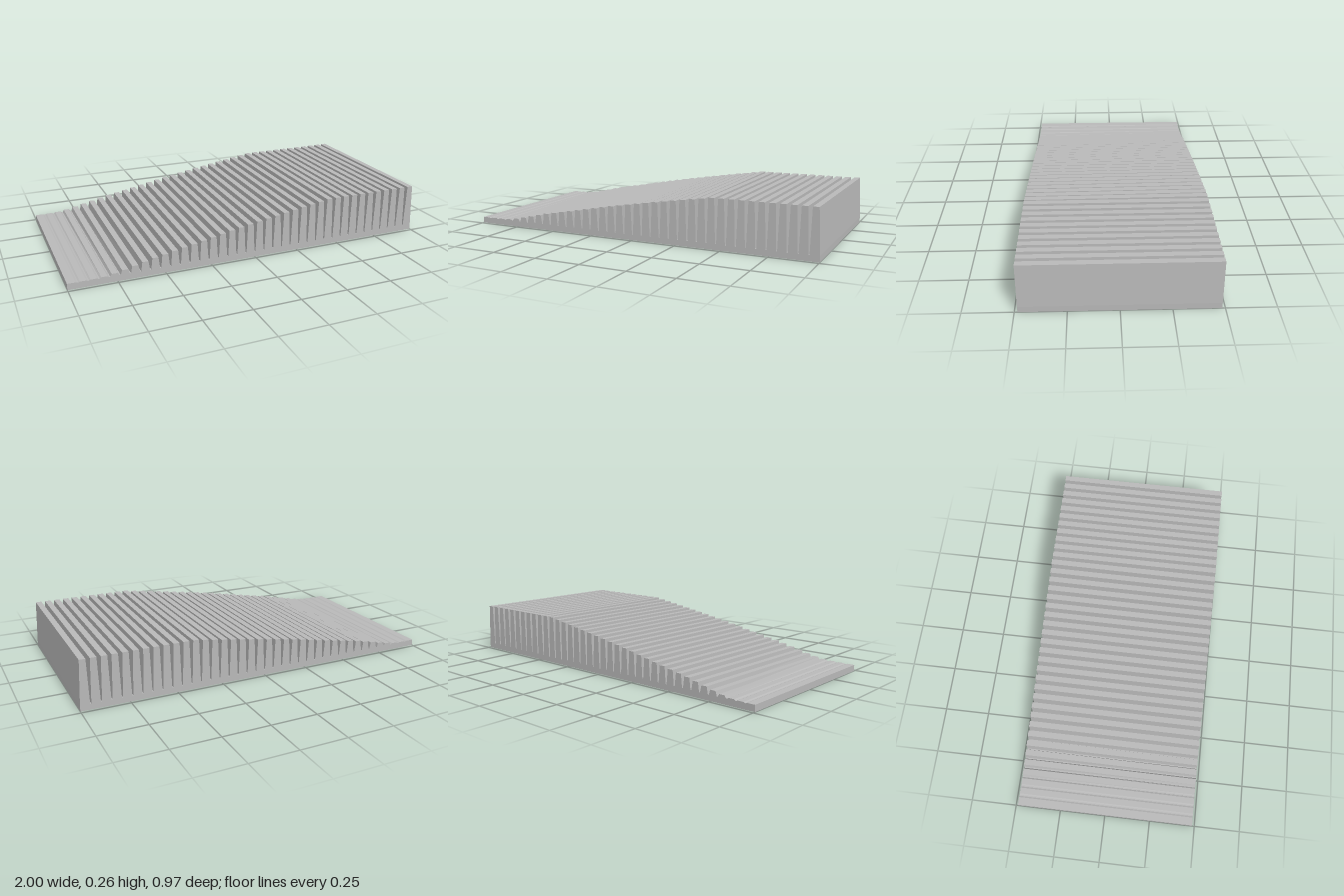
import * as THREE from 'three';

const FINS = 38, PITCH = 2 / FINS, HALF_DEPTH = 0.485;
const FLOOR = 0.031;      // height of the groove bottoms
const TOP_GAP = 0.0105;   // half width of a groove at the fin tops
const LOW_GAP = 0.003;    // half width of a groove at its bottom

// Ramp that the fin tops follow: [x, height]
const RAMP = [[-1, 0.034], [-0.88, 0.035], [-0.8, 0.047], [-0.6, 0.093], [-0.4, 0.13],
  [-0.2, 0.169], [0, 0.203], [0.2, 0.235], [0.4, 0.265], [1.1, 0.265]];

function rampHeight(x) {
  if (x <= -1) return RAMP[0][1];
  const i = RAMP.findIndex(p => p[0] > x);
  const [x0, y0] = RAMP[i - 1], [x1, y1] = RAMP[i];
  return y0 + (y1 - y0) * (x - x0) / (x1 - x0);
}

const finCentre = i => -1 + (i + 0.5) * PITCH;

export function createModel() {
  const group = new THREE.Group();
  group.name = 'finnedBlock';
  const grey = new THREE.MeshStandardMaterial({ color: 0xb8b8b8 });
  grey.name = 'grey';

  // Comb outline: flat base with tapered fins
  const outline = new THREE.Shape();
  outline.moveTo(-1, 0);
  outline.lineTo(1, 0);
  for (let i = FINS - 1; i >= 0; i--) {
    const c = finCentre(i), top = rampHeight(c);
    const low = PITCH / 2 - LOW_GAP, high = PITCH / 2 - TOP_GAP;
    outline.lineTo(i === FINS - 1 ? 1 : c + low, FLOOR);
    outline.lineTo(c + high, top);
    outline.lineTo(i === 0 ? -1 : c - high, top);
    if (i > 0) outline.lineTo(c - low, FLOOR);
  }
  const geometry = new THREE.ExtrudeGeometry(outline, { depth: 2 * HALF_DEPTH, bevelEnabled: false });
  geometry.translate(0, 0, -HALF_DEPTH);

  // Fin tops on the ramp fall slightly towards the front
  const pos = geometry.attributes.position;
  for (let v = 0; v < pos.count; v++) {
    if (pos.getZ(v) > 0 && pos.getY(v) > FLOOR + 0.001) {
      const i = Math.min(FINS - 1, Math.max(0, Math.floor((pos.getX(v) + 1) / PITCH)));
      pos.setY(v, rampHeight(finCentre(i) - 0.05));
    }
  }
  geometry.computeVertexNormals();

  const block = new THREE.Mesh(geometry, grey);
  block.name = 'baseAndFins';
  group.add(block);
  return group;
}
